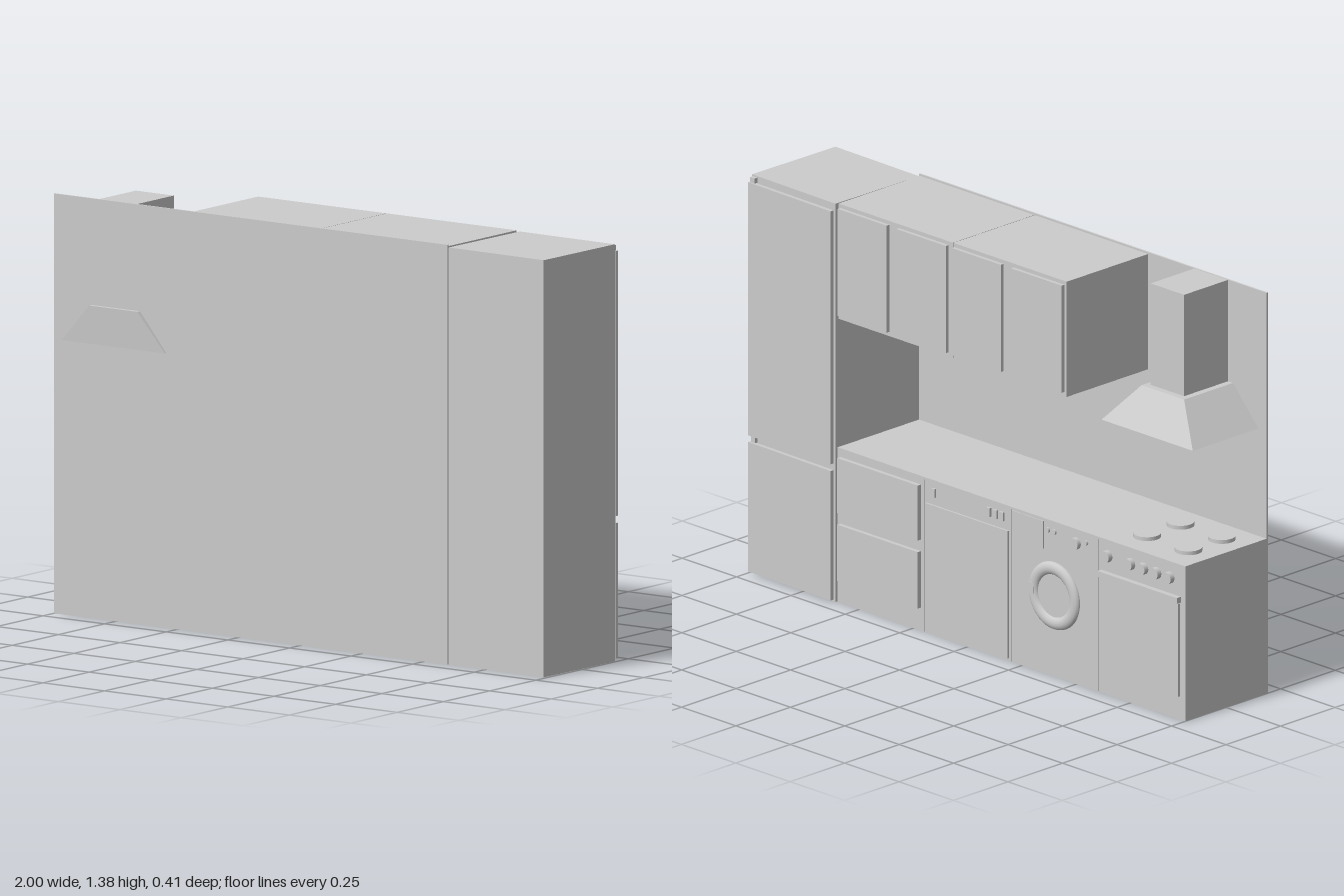
import * as THREE from 'three';

const material = new THREE.MeshStandardMaterial({ color: 0xcccccc, flatShading: true });
const smooth = new THREE.MeshStandardMaterial({ color: 0xcccccc });

function add(parent, name, geometry, mat = material) {
  const mesh = new THREE.Mesh(geometry, mat);
  mesh.name = name;
  parent.add(mesh);
  return mesh;
}

// Box given by its limits on each axis
function box(parent, name, x0, x1, y0, y1, z0, z1) {
  const mesh = add(parent, name, new THREE.BoxGeometry(x1 - x0, y1 - y0, z1 - z0));
  mesh.position.set((x0 + x1) / 2, (y0 + y1) / 2, (z0 + z1) / 2);
  return mesh;
}

// Short cylinder standing out of the kitchen side (-z)
function knob(parent, name, x, y, radius, depth) {
  const mesh = add(parent, name, new THREE.CylinderGeometry(radius, radius, depth, 20), smooth);
  mesh.rotation.x = Math.PI / 2;
  mesh.position.set(x, y, FRONT - depth / 2);
  return mesh;
}

const FRONT = -0.187, BACK = 0.186, COUNTER = 0.535;

function section(root, name) {
  const group = new THREE.Group();
  group.name = name;
  root.add(group);
  return group;
}

// Tall refrigerator, turned very slightly
function refrigerator(root) {
  const g = section(root, 'refrigerator');
  const cx = 0.797;
  g.position.x = cx;
  g.rotation.y = -0.015;
  box(g, 'refrigeratorBody', -0.195, 0.195, 0, 1.375, FRONT, 0.19);
  for (const [name, y0, y1] of [['lowerDoor', 0.008, 0.455], ['upperDoor', 0.478, 1.352]]) {
    box(g, name, -0.19, 0.195, y0, y1, -0.205, -0.191);
    box(g, name + 'Seal', -0.18, 0.185, y0 + 0.008, y1 - 0.008, -0.191, FRONT);
  }
  box(g, 'doorHinge', 0.17, 0.19, 1.352, 1.37, -0.2, FRONT);
  box(g, 'middleHinge', 0.17, 0.19, 0.455, 0.478, -0.197, FRONT);
}

// Row of wall cabinets with four doors
function wallCabinets(root) {
  const g = section(root, 'wallCabinets');
  box(g, 'cabinetBody', -0.455, 0.066, 0.98, 1.378, FRONT, BACK);
  box(g, 'cabinetBody', 0.068, 0.594, 0.98, 1.378, FRONT, BACK);
  for (const [x0, x1] of [[0.36, 0.585], [0.088, 0.315], [-0.165, 0.06], [-0.445, -0.212]]) {
    box(g, 'cabinetDoor', x0, x1, 0.995, 1.365, -0.2, FRONT);
  }
}

function drawerUnit(g) {
  for (const [y0, y1] of [[0.315, 0.505], [0.08, 0.275]]) {
    box(g, 'drawerFront', 0.215, 0.585, y0, y1, -0.202, FRONT);
  }
}

function dishwasher(g) {
  box(g, 'dishwasherDoor', -0.19, 0.19, 0.01, 0.45, -0.194, FRONT);
  for (const x of [-0.1, -0.13, -0.16]) box(g, 'dishwasherButton', x - 0.009, x + 0.009, 0.478, 0.508, -0.195, FRONT);
  box(g, 'dishwasherSwitch', 0.145, 0.16, 0.478, 0.508, -0.195, FRONT);
}

function washingMachine(g) {
  const ring = add(g, 'portholeRing', new THREE.TorusGeometry(0.094, 0.022, 14, 40), smooth);
  ring.scale.z = 0.7;
  ring.position.set(-0.4, 0.28, FRONT);
  knob(g, 'portholeGlass', -0.4, 0.28, 0.085, 0.004);
  box(g, 'portholeHandle', -0.315, -0.295, 0.265, 0.305, -0.203, FRONT);
  box(g, 'detergentDrawer', -0.35, -0.205, 0.43, 0.525, -0.19, FRONT);
  knob(g, 'programDial', -0.5, 0.487, 0.02, 0.015);
  for (const x of [-0.37, -0.4, -0.545]) knob(g, 'washerButton', x, 0.5, 0.009, 0.008);
}

function cooker(g) {
  box(g, 'ovenDoor', -0.975, -0.625, 0.08, 0.4, -0.196, FRONT);
  box(g, 'ovenHandle', -0.98, -0.615, 0.405, 0.425, -0.206, FRONT);
  for (const x of [-0.645, -0.75, -0.81, -0.87, -0.93]) knob(g, 'cookerKnob', x, 0.48, 0.02, 0.018);
  for (const x of [-0.9, -0.71]) {
    for (const z of [-0.073, 0.08]) {
      const plate = add(g, 'hotplate', new THREE.CylinderGeometry(0.045, 0.045, 0.014, 32), smooth);
      plate.position.set(x, COUNTER + 0.006, z);
    }
  }
}

// Four base units under one worktop
function baseUnits(root) {
  const details = [['drawerUnit', drawerUnit], ['dishwasher', dishwasher],
    ['washingMachine', washingMachine], ['cooker', cooker]];
  details.forEach(([name, build], i) => {
    const g = section(root, name);
    const x1 = 0.6 - 0.4 * i;
    box(g, name + 'Body', x1 - (i === 3 ? 0.4 : 0.398), x1 - 0.002, 0, COUNTER - 0.008, FRONT, BACK);
    build(g);
  });
  box(root, 'worktop', -1, 0.598, COUNTER - 0.008, COUNTER, FRONT, BACK);
}

// Sloped hood with a square duct
function extractorHood(root) {
  const g = section(root, 'extractorHood');
  const geo = new THREE.BoxGeometry(1, 1, 1);
  const p = geo.attributes.position;
  for (let i = 0; i < p.count; i++) {
    const top = p.getY(i) > 0;
    const x = p.getX(i) > 0 ? (top ? -0.65 : -0.543) : (top ? -0.845 : -0.962);
    const z = p.getZ(i) > 0 ? (top ? 0.207 : 0.2) : (top ? -0.038 : -0.115);
    p.setXYZ(i, x, top ? 1.033 : 0.906, z);
  }
  geo.computeVertexNormals();
  add(g, 'hoodCanopy', geo);
  box(g, 'hoodDuct', -0.822, -0.668, 1.03, 1.383, -0.015, BACK);
}

export function createModel() {
  const root = new THREE.Group();
  root.name = 'kitchen';
  box(root, 'backWall', -1, 0.598, 0, 1.384, BACK, 0.192);
  refrigerator(root);
  wallCabinets(root);
  baseUnits(root);
  extractorHood(root);
  return root;
}
